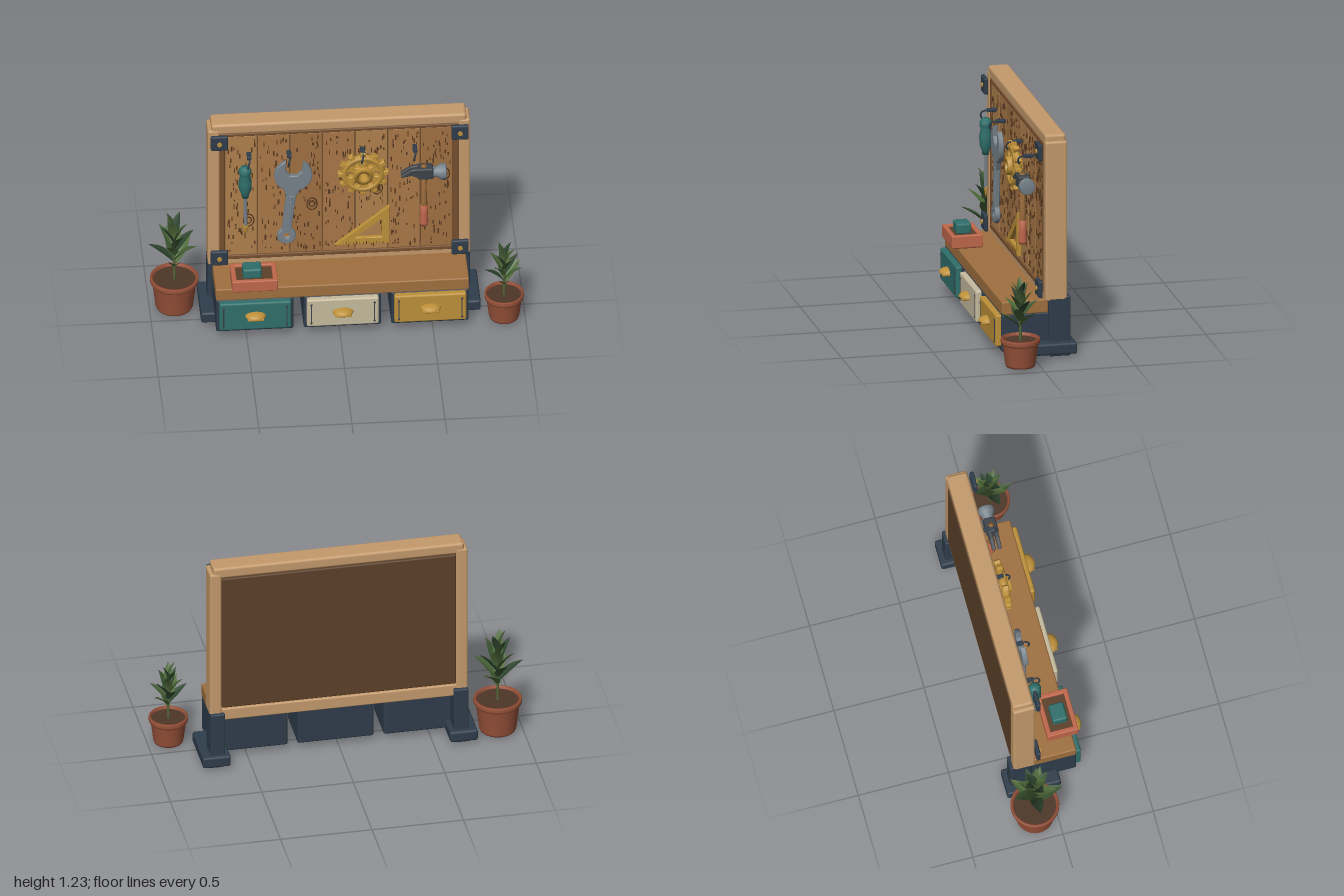
import * as THREE from 'three';
import { mergeGeometries } from 'three/addons/utils/BufferGeometryUtils.js';
import { RoundedBoxGeometry } from 'three/addons/geometries/RoundedBoxGeometry.js';

const C = {
  frame: 0xc49a6c, shelf: 0xa0703f, trim: 0x77502f, back: 0x5c4029, mark: 0x5a3a20,
  navy: 0x2f3d4b, teal: 0x2f6f6b, cream: 0xc6bb9e, gold: 0xbd9039, steel: 0x77828a,
  iron: 0x3c4349, clay: 0x98523a, red: 0xc0684c, soil: 0x4d3626
};
const materials = {};
const mat = (color) => (materials[color] ??= new THREE.MeshStandardMaterial({ color, side: THREE.DoubleSide }));

let seed = 7;
const rand = (a = 0, b = 1) => {
  seed = (seed * 16807) % 2147483647;
  return a + (b - a) * (seed / 2147483647);
};

function add(parent, name, geo, color, x = 0, y = 0, z = 0) {
  const m = new THREE.Mesh(geo, mat(color));
  m.name = name;
  m.position.set(x, y, z);
  parent.add(m);
  return m;
}

// Rounded box given by its min and max corners
function box(parent, name, color, [x0, x1], [y0, y1], [z0, z1], r = 0.008) {
  const geo = new RoundedBoxGeometry(x1 - x0, y1 - y0, z1 - z0, 2, r);
  return add(parent, name, geo, color, (x0 + x1) / 2, (y0 + y1) / 2, (z0 + z1) / 2);
}

function group(parent, name, x = 0, y = 0, z = 0) {
  const g = new THREE.Group();
  g.name = name;
  g.position.set(x, y, z);
  parent.add(g);
  return g;
}

// Extrusion centred on z = 0
function plate(shape, depth, bevel = 0.004) {
  const geo = new THREE.ExtrudeGeometry(shape, {
    depth: depth - 2 * bevel, bevelSize: bevel, bevelOffset: -bevel, bevelThickness: bevel, bevelSegments: 1, curveSegments: 20
  });
  return geo.translate(0, 0, -depth / 2 + bevel);
}
const poly = (pts) => new THREE.Shape(pts.map(([x, y]) => new THREE.Vector2(x, y)));
const circle = (x, y, r) => new THREE.Path().absarc(x, y, r, 0, Math.PI * 2, true);
const lathe = (pts, n = 28) => new THREE.LatheGeometry(pts.map(([r, y]) => new THREE.Vector2(r, y)), n);
const disc = (r, h, n = 20) => new THREE.CylinderGeometry(r, r, h, n).rotateX(Math.PI / 2);

function buildBoard(root) {
  const g = group(root, 'board');
  for (const [x0, x1] of [[-0.69, -0.625], [0.655, 0.72]]) box(g, 'framePost', C.frame, [x0, x1], [0.305, 1.195], [-0.19, -0.07], 0.012);
  box(g, 'frameTop', C.frame, [-0.67, 0.70], [1.165, 1.23], [-0.187, -0.073], 0.015);
  box(g, 'frameBottom', C.frame, [-0.65, 0.68], [0.28, 0.35], [-0.185, -0.073]);
  box(g, 'backPanel', C.back, [-0.625, 0.655], [0.36, 1.165], [-0.192, -0.11]);
  for (const [x0, x1] of [[-0.63, -0.598], [0.628, 0.66]]) box(g, 'sideTrim', C.trim, [x0, x1], [0.34, 1.17], [-0.13, -0.073], 0.005);
  box(g, 'topTrim', C.trim, [-0.625, 0.655], [1.15, 1.17], [-0.13, -0.072], 0.005);
  box(g, 'bottomTrim', C.trim, [-0.625, 0.655], [0.335, 0.36], [-0.13, -0.072], 0.005);

  // Seven planks with grain dashes
  const tones = [0xb0804e, 0xa97847, 0xa07041, 0xa87748];
  const grain = [];
  for (let i = 0; i < 7; i++) {
    const x0 = -0.597 + i * 0.175;
    box(g, 'plank', tones[i % 4], [x0 + 0.002, x0 + 0.172], [0.36, 1.15], [-0.12, -0.077], 0.005);
    for (let k = 0; k < 65; k++) {
      const h = rand(0.008, 0.032);
      grain.push(new THREE.BoxGeometry(rand(0.004, 0.008), h, 0.006)
        .translate(x0 + rand(0.015, 0.16), rand(0.385, 1.125), -0.075));
    }
  }
  add(g, 'woodGrain', mergeGeometries(grain), C.mark);
  for (const [x, y] of [[-0.47, 0.59], [-0.13, 0.68], [0.22, 0.765], [0.58, 0.84]])
    for (const r of [0.014, 0.028]) add(g, 'knot', new THREE.TorusGeometry(r, 0.003, 4, 18), C.mark, x, y, -0.075).scale.y = 1.4;

  // Corner brackets with bolts
  for (const x of [-0.63, 0.663]) for (const y of [0.37, 1.133]) {
    box(g, 'cornerBracket', C.navy, [x - 0.046, x + 0.046], [y - 0.046, y + 0.046], [-0.057, -0.034]);
    add(g, 'bracketBolt', disc(0.013, 0.01, 12), C.gold, x, y, -0.031);
  }
}

function buildBase(root) {
  const g = group(root, 'base');
  box(g, 'shelf', C.shelf, [-0.665, 0.695], [0.237, 0.312], [-0.09, 0.165], 0.008);
  for (const s of [-1, 1]) {
    const cx = 0.015 + s * 0.665;
    box(g, 'leg', C.navy, [cx - 0.04, cx + 0.04], [0.02, 0.33], [-0.208, -0.09]);
    const fx = 0.015 + s * 0.675;
    box(g, 'foot', C.navy, [fx - 0.076, fx + 0.076], [0.018, 0.082], [-0.235, 0.062], 0.012);
    box(g, 'footPad', C.navy, [fx - 0.035, fx + 0.035], [0, 0.03], [-0.205, -0.09], 0.005);
  }

  // Three drawers with cup handles
  [[-0.455, C.teal], [0.015, C.cream], [0.485, C.gold]].forEach(([x, color]) => {
    const d = group(g, 'drawer', x, 0, 0);
    box(d, 'drawerBox', C.navy, [-0.208, 0.208], [0.033, 0.24], [-0.1, 0.166], 0.01);
    box(d, 'drawerFront', color, [-0.193, 0.193], [0.06, 0.235], [0.15, 0.196], 0.01);
    const cup = new THREE.SphereGeometry(1, 20, 8, 0, Math.PI * 2, 0, Math.PI / 2).scale(0.056, 0.026, 0.05);
    add(d, 'handleCup', cup, C.gold, 0, 0.153, 0.195);
    box(d, 'handleLip', C.gold, [-0.045, 0.045], [0.14, 0.155], [0.19, 0.235], 0.006);
    for (const s of [-1, 1]) {
      box(d, 'frontPin', C.iron, [s * 0.17 - 0.003, s * 0.17 + 0.003], [0.085, 0.205], [0.19, 0.198], 0.001);
      for (const y of [0.085, 0.205]) add(d, 'frontScrew', disc(0.006, 0.008, 10), C.iron, s * 0.17, y, 0.196);
    }
  });

  // Open tray with a block in it
  const t = group(g, 'tray', -0.457, 0.312, 0.115);
  box(t, 'trayBase', C.red, [-0.123, 0.123], [0, 0.05], [-0.086, 0.086], 0.01);
  for (const s of [-1, 1]) {
    box(t, 'traySide', C.red, [s * 0.11 - 0.013, s * 0.11 + 0.013], [0.02, 0.073], [-0.086, 0.086], 0.006);
    box(t, 'trayEnd', C.red, [-0.12, 0.12], [0.02, 0.073], [s * 0.074 - 0.012, s * 0.074 + 0.012], 0.006);
  }
  box(t, 'trayFill', C.back, [-0.1, 0.1], [0.04, 0.06], [-0.064, 0.064], 0.004);
  box(t, 'block', C.teal, [-0.062, 0.04], [0.055, 0.116], [-0.04, 0.042], 0.012);
}

function buildTools(root) {
  const g = group(root, 'tools');
  for (const x of [-0.47, -0.255, 0.14, 0.42]) {
    const h = group(g, 'hook', x, 1.037, 0);
    box(h, 'hookPlate', C.navy, [-0.012, 0.012], [-0.009, 0.009], [-0.075, -0.02], 0.003);
    const path = new THREE.CatmullRomCurve3([[0, 0, -0.03], [0, -0.003, 0], [-0.006, -0.02, 0.012], [-0.01, -0.045, 0.005]].map((p) => new THREE.Vector3(...p)));
    add(h, 'hookArm', new THREE.TubeGeometry(path, 10, 0.005, 6), C.navy);
  }

  // Screwdriver
  const s = group(g, 'screwdriver', -0.485, 0, -0.02);
  s.rotation.z = 0.01;
  add(s, 'screwdriverHandle', lathe([[0, 0.785], [0.018, 0.785], [0.022, 0.81], [0.034, 0.84], [0.036, 0.89], [0.027, 0.93], [0.034, 0.945], [0.034, 0.965], [0.022, 0.985], [0, 0.987]], 12), C.teal);
  add(s, 'screwdriverShaft', new THREE.CylinderGeometry(0.01, 0.01, 0.2, 10), C.steel, 0, 0.7, 0);
  add(s, 'screwdriverTip', lathe([[0, 0.55], [0.008, 0.555], [0.018, 0.59], [0.01, 0.61], [0, 0.61]], 8), C.gold).scale.z = 0.5;

  // Wrench
  const D = Math.PI / 180;
  const w = new THREE.Shape();
  w.moveTo(0.045, 0.09);
  w.absarc(0, 0, 0.102, 63 * D, -65 * D, true);
  w.lineTo(0.026, -0.14);
  w.lineTo(0.022, -0.355);
  w.absarc(0, -0.4, 0.05, 55 * D, -235 * D, true);
  w.lineTo(-0.026, -0.14);
  w.absarc(0, 0, 0.102, -115 * D, -243 * D, true);
  w.lineTo(-0.045, 0.03);
  w.lineTo(-0.02, 0);
  w.lineTo(0.02, 0);
  w.lineTo(0.045, 0.03);
  w.holes.push(circle(0, -0.4, 0.026));
  const wrench = group(g, 'wrench', -0.235, 0.915, -0.025);
  wrench.rotation.z = -0.09;
  add(wrench, 'wrenchBody', plate(w, 0.028), C.steel);
  add(wrench, 'wrenchRing', new THREE.TorusGeometry(0.037, 0.015, 6, 24), C.steel, 0, -0.4, 0);
  box(wrench, 'wrenchRib', C.steel, [-0.011, 0.011], [-0.33, -0.13], [-0.018, 0.018], 0.004);

  // Gear
  const teeth = [];
  for (let i = 0; i < 12; i++)
    for (const [a, r] of [[-0.3, 0.108], [-0.18, 0.137], [0.18, 0.137], [0.3, 0.108]]) {
      const t = ((i + a) / 12) * Math.PI * 2;
      teeth.push([r * Math.cos(t), r * Math.sin(t)]);
    }
  const gs = poly(teeth);
  gs.holes.push(circle(0, 0, 0.025));
  for (let i = 0; i < 6; i++) gs.holes.push(circle(0.07 * Math.cos(i * Math.PI / 3), 0.07 * Math.sin(i * Math.PI / 3), 0.017));
  const gear = group(g, 'gear', 0.14, 0.905, -0.027);
  add(gear, 'gearBody', plate(gs, 0.034), C.gold);
  add(gear, 'gearRim', new THREE.TorusGeometry(0.1, 0.02, 6, 36), C.gold).scale.z = 1.2;
  add(gear, 'gearHub', lathe([[0.025, -0.04], [0.05, -0.04], [0.05, 0.04], [0.025, 0.04], [0.025, -0.04]]).rotateX(Math.PI / 2), C.gold);

  // Set square
  const sq = poly([[-0.012, 0.438], [0.282, 0.438], [0.282, 0.685]]);
  sq.holes.push(new THREE.Path([[0.095, 0.48], [0.24, 0.6], [0.24, 0.48]].map((p) => new THREE.Vector2(...p))));
  add(g, 'setSquare', plate(sq, 0.024), C.gold, 0, 0, -0.028);
  const ticks = [];
  for (let i = 0; i < 12; i++) ticks.push(new THREE.BoxGeometry(0.003, i % 3 ? 0.01 : 0.018, 0.004).translate(0.05 + i * 0.018, 0.449, -0.016));
  add(g, 'setSquareTicks', mergeGeometries(ticks), C.mark);

  // Hammer
  const h = group(g, 'hammer', 0.465, 0, -0.002);
  add(h, 'hammerHandle', lathe([[0, 0.69], [0.019, 0.69], [0.015, 0.8], [0.017, 0.955], [0, 0.958]], 12), C.shelf);
  add(h, 'hammerGrip', lathe([[0, 0.56], [0.02, 0.562], [0.024, 0.58], [0.021, 0.64], [0.022, 0.695], [0, 0.697]], 12), C.red);
  box(h, 'hammerHead', C.iron, [-0.035, 0.05], [0.88, 0.95], [-0.033, 0.033], 0.01);
  const claw = poly([[-0.02, 0.95], [-0.07, 0.942], [-0.125, 0.905], [-0.122, 0.893], [-0.07, 0.905], [-0.02, 0.885]]);
  for (const z of [-1, 1]) add(h, 'hammerClaw', plate(claw, 0.022), C.iron, 0, 0, z * 0.016);
  add(h, 'hammerFace', lathe([[0, 0], [0.03, 0], [0.028, 0.03], [0.044, 0.055], [0.044, 0.08], [0.038, 0.087], [0, 0.087]], 20).rotateZ(-Math.PI / 2), C.steel, 0.035, 0.91, 0);
}

// Folded, pointed leaf growing along +y and arching toward +z
function leafGeometry(len, width) {
  const geo = new THREE.PlaneGeometry(1, 1, 4, 8).translate(0, 0.5, 0);
  const p = geo.attributes.position;
  for (let i = 0; i < p.count; i++) {
    const t = p.getY(i);
    const x = p.getX(i) * width * (0.04 + 0.96 * Math.sin(Math.PI * Math.pow(t, 0.85))) * (t > 0.99 ? 0 : 1);
    p.setXYZ(i, x, t * len, -Math.abs(x) * 0.35 + 0.2 * len * t * t);
  }
  geo.computeVertexNormals();
  return geo;
}

function buildPlant(root, x, z, r, potTop, top) {
  const g = group(root, 'pottedPlant', x, 0, z);
  const y0 = 0.01, rim = potTop - 0.035;
  add(g, 'pot', lathe([[0, y0], [r * 0.73, y0], [r * 0.77, y0 + 0.012], [r * 0.9, rim], [r * 0.97, rim + 0.003], [r, rim + 0.012],
    [r, potTop - 0.004], [r * 0.97, potTop], [r * 0.88, potTop], [r * 0.85, potTop - 0.03]]), C.clay);
  add(g, 'soil', new THREE.CylinderGeometry(r * 0.87, r * 0.85, 0.01, 24), C.soil, 0, potTop - 0.02, 0);
  const height = top - potTop, stem = height * 0.68;
  add(g, 'stem', new THREE.CylinderGeometry(0.005, 0.008, stem + 0.02, 8), 0x55663a, 0, potTop + stem / 2 - 0.01, 0);
  const greens = [0x3c5733, 0x526e3c, 0x2f4730, 0x486338];
  const n = 16;
  for (let i = 0; i < n; i++) {
    const t = i / (n - 1);
    const len = height * (0.46 - 0.1 * t);
    const leaf = add(g, 'leaf', leafGeometry(len, len * 0.38), greens[i % 4], 0, potTop + height * (0.16 + 0.5 * t), 0);
    leaf.rotation.set(0.72 - 0.62 * t, i * 2.4 + rand(-0.25, 0.25), 0, 'YXZ');
  }
}

export function createModel() {
  seed = 7;
  const root = new THREE.Group();
  root.name = 'toolBoard';
  buildBoard(root);
  buildBase(root);
  buildTools(root);
  buildPlant(root, -0.866, -0.12, 0.131, 0.205, 0.62);
  buildPlant(root, 0.887, 0.108, 0.106, 0.167, 0.495);
  return root;
}
